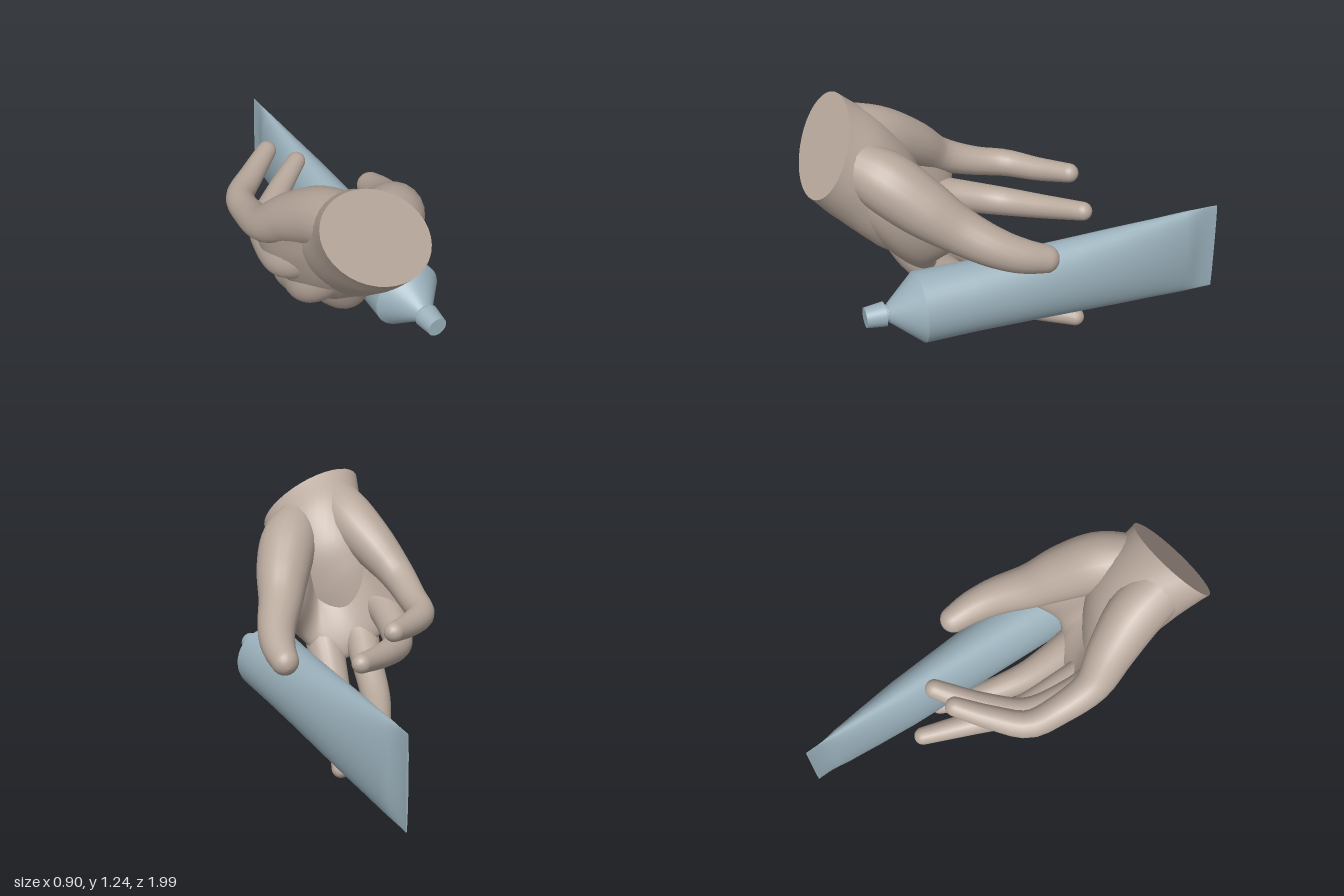
import * as THREE from 'three';

const V = (a) => new THREE.Vector3(...a);

// Skin over a row of elliptical rings [centre, u, v], where u x v points along the row.
// Both ends are closed; a repeated ring gives a sharp edge.
function loft(rings, n) {
  const pos = [], idx = [];
  const first = rings[0], last = rings[rings.length - 1], o = new THREE.Vector3();
  const rows = [[first[0], o, o], first, ...rings, last, [last[0], o, o]];
  rows.forEach(([c, u, v], i) => {
    for (let j = 0; j < n; j++) {
      const a = (j / n) * Math.PI * 2;
      const p = c.clone().addScaledVector(u, Math.cos(a)).addScaledVector(v, Math.sin(a));
      pos.push(p.x, p.y, p.z);
      if (i === 0) continue;
      const k = (j + 1) % n, lo = (i - 1) * n, hi = i * n;
      idx.push(lo + j, lo + k, hi + k, lo + j, hi + k, hi + j);
    }
  });
  const g = new THREE.BufferGeometry();
  g.setAttribute('position', new THREE.Float32BufferAttribute(pos, 3));
  g.setIndex(idx);
  g.computeVertexNormals();
  return g;
}

// Tapered limb through points [x, y, z, radius] with a domed tip
function limb(points, n = 20, steps = 28) {
  const curve = new THREE.CatmullRomCurve3(points.map(([x, y, z]) => V([x, y, z])), false, 'centripetal');
  const radii = new THREE.CatmullRomCurve3(points.map((p, i) => V([i, p[3], 0])), false, 'catmullrom');
  const { tangents, normals, binormals } = curve.computeFrenetFrames(steps);
  const rings = [];
  const add = (c, i, r) => rings.push([c, normals[i].clone().multiplyScalar(r), binormals[i].clone().multiplyScalar(r)]);
  for (let i = 0; i <= steps; i++) {
    add(curve.getPointAt(i / steps), i, radii.getPoint(curve.getUtoTmapping(i / steps)).y);
  }
  const end = points[points.length - 1];
  for (let k = 1; k <= 6; k++) {
    const a = (k / 6) * Math.PI / 2;
    const c = V(end).addScaledVector(tangents[steps], Math.sin(a) * end[3]);
    add(c, steps, Math.max(Math.cos(a), 0.001) * end[3]);
  }
  return loft(rings, n);
}

// Smoothly fill in extra rings between the given [centre, u, v] sections
function refine(sections, count) {
  const tracks = [0, 1, 2].map((k) => new THREE.CatmullRomCurve3(sections.map((s) => s[k]), false, 'catmullrom'));
  return Array.from({ length: count + 1 }, (_, i) => tracks.map((t) => t.getPoint(i / count)));
}

// Cupped fan: each rib [from, to, thickness] becomes a long thin ellipse, skinned from rib to rib
function fan(ribs) {
  const sections = ribs.map(([from, to, thickness], i) => {
    const across = V(ribs[Math.min(i + 1, ribs.length - 1)][1]).sub(V(ribs[Math.max(i - 1, 0)][1]));
    const v = V(to).sub(V(from)).multiplyScalar(0.5);
    return [V(from).add(v), v.clone().cross(across).setLength(thickness), v];
  });
  return loft(refine(sections, 36), 40);
}

export function createModel() {
  const model = new THREE.Group();
  const skin = new THREE.MeshStandardMaterial({ color: 0xb8a89c });
  const metal = new THREE.MeshStandardMaterial({ color: 0x9ab0bb });
  const add = (parent, name, geometry, material) => {
    const mesh = new THREE.Mesh(geometry, material);
    mesh.name = name;
    parent.add(mesh);
    return mesh;
  };

  // Hand
  const hand = new THREE.Group();
  hand.name = 'hand';
  model.add(hand);

  // Wrist: sections from the cut end into the palm, twisting on the way
  const wrist = [
    [[-0.15, 1.05, 0.87], [-0.03, 0.185, -0.12], [0.26, -0.05, 0.0]],
    [[-0.13, 0.93, 0.74], [0.02, 0.175, -0.145], [0.24, -0.07, 0.03]],
    [[-0.125, 0.8, 0.62], [0.06, 0.135, -0.13], [0.215, -0.11, 0.07]],
    [[-0.14, 0.68, 0.53], [0.065, 0.085, -0.09], [0.17, -0.14, 0.08]],
    [[-0.17, 0.58, 0.45], [0.05, 0.04, -0.045], [0.11, -0.12, 0.06]],
    [[-0.19, 0.51, 0.4], [0.02, 0.015, -0.02], [0.05, -0.05, 0.03]],
  ];
  add(hand, 'wrist', loft(refine(wrist.map((s) => s.map(V)), 30), 36), skin);

  // Palm: ribs from little finger to thumb, each from the wrist to a knuckle or web
  add(hand, 'palm', fan([
    [[-0.25, 1.05, 0.77], [-0.37, 0.72, 0.18], 0.07],
    [[-0.21, 1.0, 0.81], [-0.325, 0.57, 0.22], 0.085],
    [[-0.15, 0.95, 0.84], [-0.2, 0.41, 0.3], 0.1],
    [[-0.07, 0.94, 0.84], [-0.03, 0.33, 0.36], 0.105],
    [[-0.01, 0.96, 0.8], [0.09, 0.46, 0.43], 0.105],
    [[0.02, 0.97, 0.76], [0.2, 0.585, 0.35], 0.1],
    [[0.03, 0.97, 0.73], [0.28, 0.66, 0.27], 0.07],
  ]), skin);

  // Digits, each from its root inside the palm to its tip
  const limbs = {
    thumb: [
      [-0.03, 0.99, 0.76, 0.115], [0.075, 0.925, 0.64, 0.145], [0.17, 0.815, 0.5, 0.137],
      [0.245, 0.71, 0.36, 0.112], [0.335, 0.625, 0.2, 0.094], [0.373, 0.578, 0.08, 0.082], [0.385, 0.55, -0.02, 0.068],
    ],
    indexFinger: [
      [-0.08, 0.66, 0.6, 0.09], [-0.04, 0.43, 0.47, 0.098], [-0.01, 0.29, 0.32, 0.088],
      [0.03, 0.18, 0.16, 0.077], [0.12, 0.09, -0.08, 0.059], [0.205, 0.05, -0.26, 0.045],
    ],
    middleFinger: [
      [-0.16, 0.66, 0.58, 0.09], [-0.21, 0.49, 0.42, 0.094], [-0.17, 0.36, 0.22, 0.08],
      [-0.12, 0.255, 0.02, 0.073], [-0.01, 0.22, -0.24, 0.059], [0.075, 0.21, -0.45, 0.046],
    ],
    ringFinger: [
      [-0.23, 0.76, 0.52, 0.09], [-0.305, 0.63, 0.36, 0.09], [-0.28, 0.57, 0.15, 0.08],
      [-0.22, 0.54, -0.02, 0.073], [-0.07, 0.56, -0.17, 0.061], [0.125, 0.605, -0.32, 0.047],
    ],
    littleFinger: [
      [-0.23, 1.08, 0.78, 0.13], [-0.25, 1.01, 0.59, 0.135], [-0.305, 0.905, 0.41, 0.115], [-0.36, 0.79, 0.26, 0.088],
      [-0.35, 0.725, 0.08, 0.073], [-0.315, 0.7, -0.08, 0.068], [-0.19, 0.705, -0.2, 0.059], [-0.045, 0.732, -0.315, 0.048],
    ],
  };
  for (const [name, points] of Object.entries(limbs)) add(hand, name, limb(points), skin);

  // Squeeze tube: round at the shoulder, pressed flat at the crimped end
  const tube = new THREE.Group();
  tube.name = 'squeezeTube';
  tube.position.set(0.24, 0.327, 0);
  model.add(tube);
  const body = [
    [0.56, 0.172, 0.172], [0.3, 0.155, 0.178], [0, 0.137, 0.192], [-0.25, 0.122, 0.205], [-0.45, 0.108, 0.215],
    [-0.65, 0.082, 0.225], [-0.82, 0.052, 0.235], [-0.88, 0.03, 0.237], [-0.935, 0.006, 0.237], [-1, 0.006, 0.237],
  ].map(([z, x, y]) => [V([0, 0, z]), V([0, y, 0]), V([x, 0, 0])]);
  add(tube, 'body', loft(body, 40), metal);

  // Shoulder cone, neck and cap along the tube's axis
  const turned = [
    ['shoulder', 0.56, 0.172, 0.71, 0.045],
    ['neck', 0.7, 0.042, 0.73, 0.042],
    ['cap', 0.727, 0.06, 0.82, 0.049],
  ];
  for (const [name, z0, r0, z1, r1] of turned) {
    const g = new THREE.CylinderGeometry(r1, r0, z1 - z0, 40);
    g.rotateX(Math.PI / 2);
    add(tube, name, g, metal).position.z = (z0 + z1) / 2;
  }
  return model;
}
